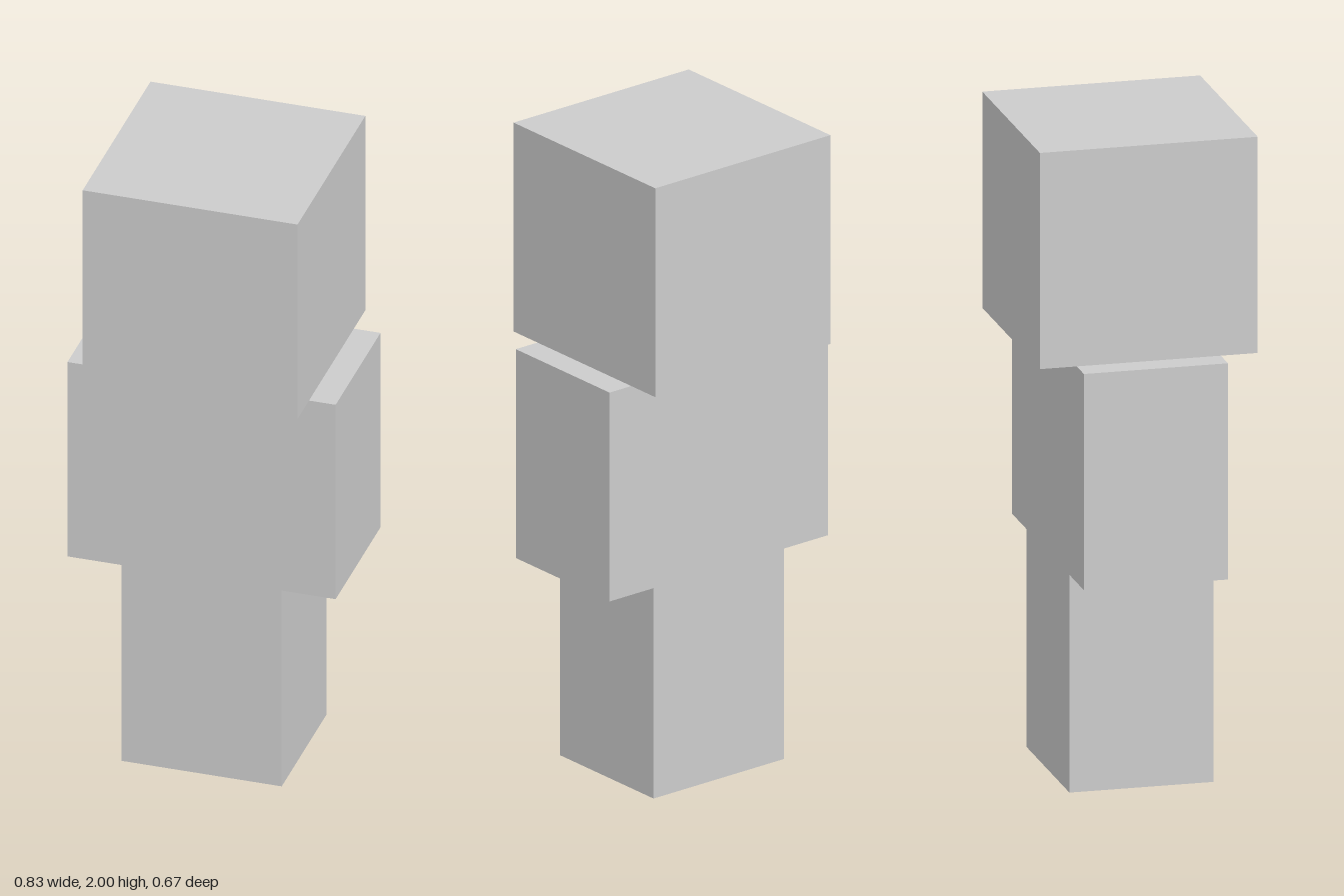
import * as THREE from 'three';

const HEAD = 0.665;          // head cube edge
const HIP_Y = 0.67;          // top of the legs
const NECK_Y = 2 - HEAD;     // top of the torso
const DEPTH = 0.44;          // torso and leg thickness
const SHOULDER = 0.415;      // half width across the arms
const HIP = 0.248;           // half width across the legs

export function createModel() {
  const model = new THREE.Group();
  model.name = 'blockFigure';
  const material = new THREE.MeshStandardMaterial({ color: 0xcccccc, flatShading: true });

  // Torso, arms and legs share one continuous T-shaped silhouette
  const half = [[HIP, 0], [HIP, HIP_Y], [SHOULDER, HIP_Y], [SHOULDER, NECK_Y]];
  const mirrored = half.map(([x, y]) => [-x, y]).reverse();
  const outline = new THREE.Shape([...half, ...mirrored].map(([x, y]) => new THREE.Vector2(x, y)));
  const bodyGeometry = new THREE.ExtrudeGeometry(outline, { depth: DEPTH, bevelEnabled: false });
  bodyGeometry.translate(0, 0, -DEPTH / 2);
  const body = new THREE.Mesh(bodyGeometry, material);
  body.name = 'torsoAndLegs';
  model.add(body);

  // Cube head resting on the shoulders
  const head = new THREE.Mesh(new THREE.BoxGeometry(HEAD, HEAD, HEAD), material);
  head.name = 'head';
  head.position.y = NECK_Y + HEAD / 2;
  model.add(head);

  return model;
}
